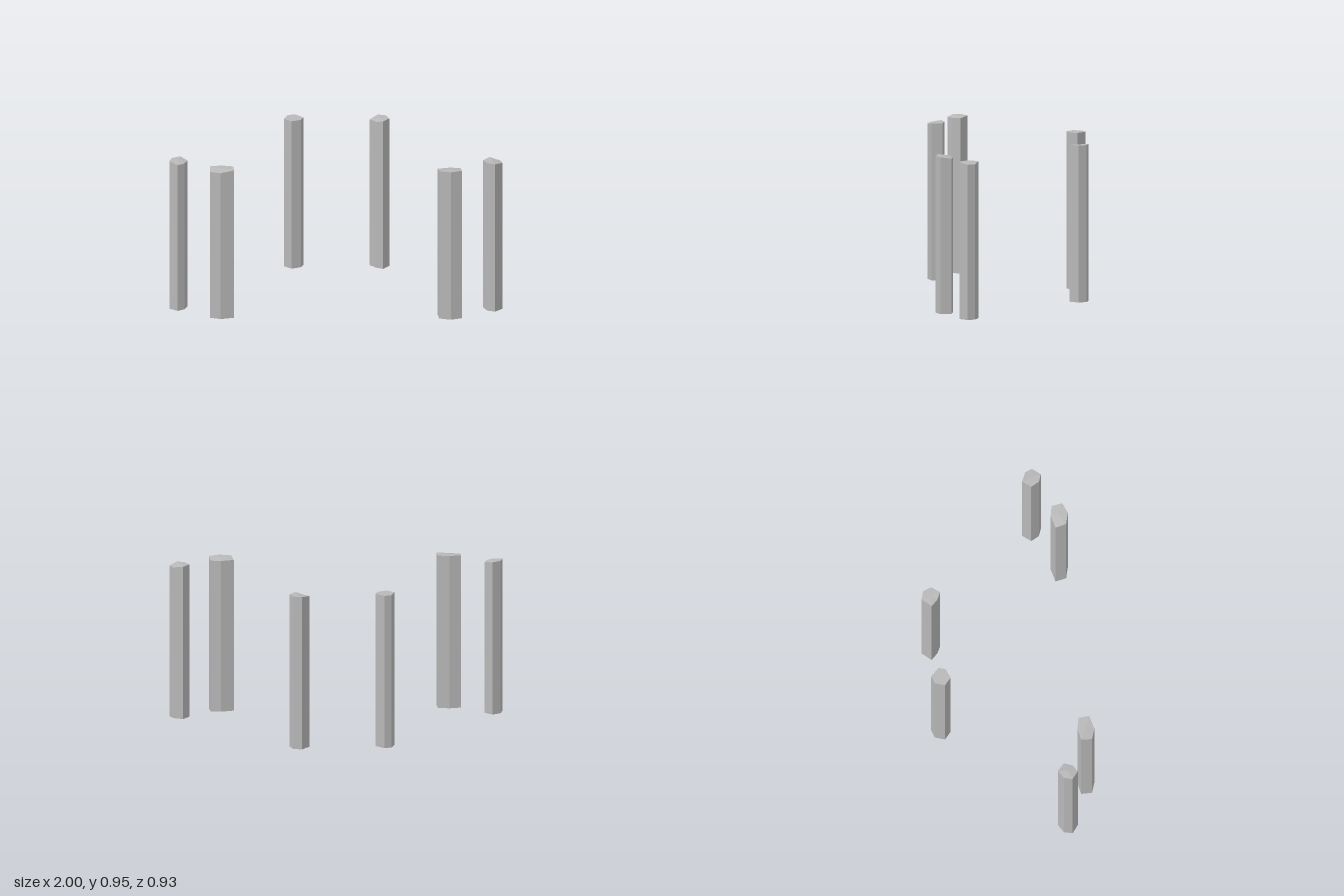
import * as THREE from 'three';

const HEIGHT = 0.95;
const LOW = 0.94;

// Irregular hexagonal post: outline [x, z] clockwise from above, capped on top, open below.
// The corners listed in "low" are chipped down a little.
function makePost(name, outline, low, material) {
  const n = outline.length;
  const cx = outline.reduce((s, p) => s + p[0], 0) / n;
  const cz = outline.reduce((s, p) => s + p[1], 0) / n;
  const local = outline.map(([x, z]) => [x - cx, z - cz]);
  const pos = [];
  for (let i = 0; i < n; i++) {
    const j = (i + 1) % n;
    const at = (k, y) => [local[k][0], y, local[k][1]];
    const top = (k) => at(k, low.includes(k) ? LOW : HEIGHT);
    pos.push(...at(j, 0), ...at(i, 0), ...top(i)); // wall
    pos.push(...at(j, 0), ...top(i), ...top(j));
    pos.push(0, HEIGHT, 0, ...top(j), ...top(i)); // cap
  }
  const geometry = new THREE.BufferGeometry();
  geometry.setAttribute('position', new THREE.Float32BufferAttribute(pos, 3));
  geometry.computeVertexNormals();
  const mesh = new THREE.Mesh(geometry, material);
  mesh.name = name;
  mesh.position.set(cx, 0, cz);
  return mesh;
}

export function createModel() {
  const group = new THREE.Group();
  group.name = 'standingPosts';
  const stone = new THREE.MeshStandardMaterial({ color: 0xb8b8b8 });
  stone.name = 'stone grey';
  stone.flatShading = true;
  stone.side = THREE.DoubleSide;

  const posts = [
    // back pair
    ['backLeftPost', [[0.245, -0.47], [0.295, -0.455], [0.315, -0.405], [0.277, -0.355], [0.237, -0.375], [0.197, -0.415]], [4, 5]],
    ['backRightPost', [[-0.25, -0.47], [-0.2, -0.42], [-0.214, -0.38], [-0.27, -0.355], [-0.316, -0.395], [-0.295, -0.455]], []],
    // wide front pair
    ['frontLeftPost', [[0.608, 0.38], [0.685, 0.36], [0.748, 0.372], [0.755, 0.438], [0.69, 0.464], [0.62, 0.445]], [0, 1, 2]],
    ['frontRightPost', [[-0.755, 0.375], [-0.685, 0.36], [-0.615, 0.375], [-0.61, 0.44], [-0.69, 0.462], [-0.755, 0.44]], [4, 5]],
    // outer side pair
    ['sideLeftPost', [[0.92, 0.215], [0.98, 0.24], [0.998, 0.283], [0.953, 0.332], [0.907, 0.315], [0.88, 0.265]], [1, 2]],
    ['sideRightPost', [[-0.935, 0.213], [-0.888, 0.255], [-0.908, 0.305], [-0.948, 0.332], [-0.998, 0.295], [-0.985, 0.243]], [1, 2, 3]],
  ];
  for (const [name, outline, low] of posts) group.add(makePost(name, outline, low, stone));
  return group;
}
